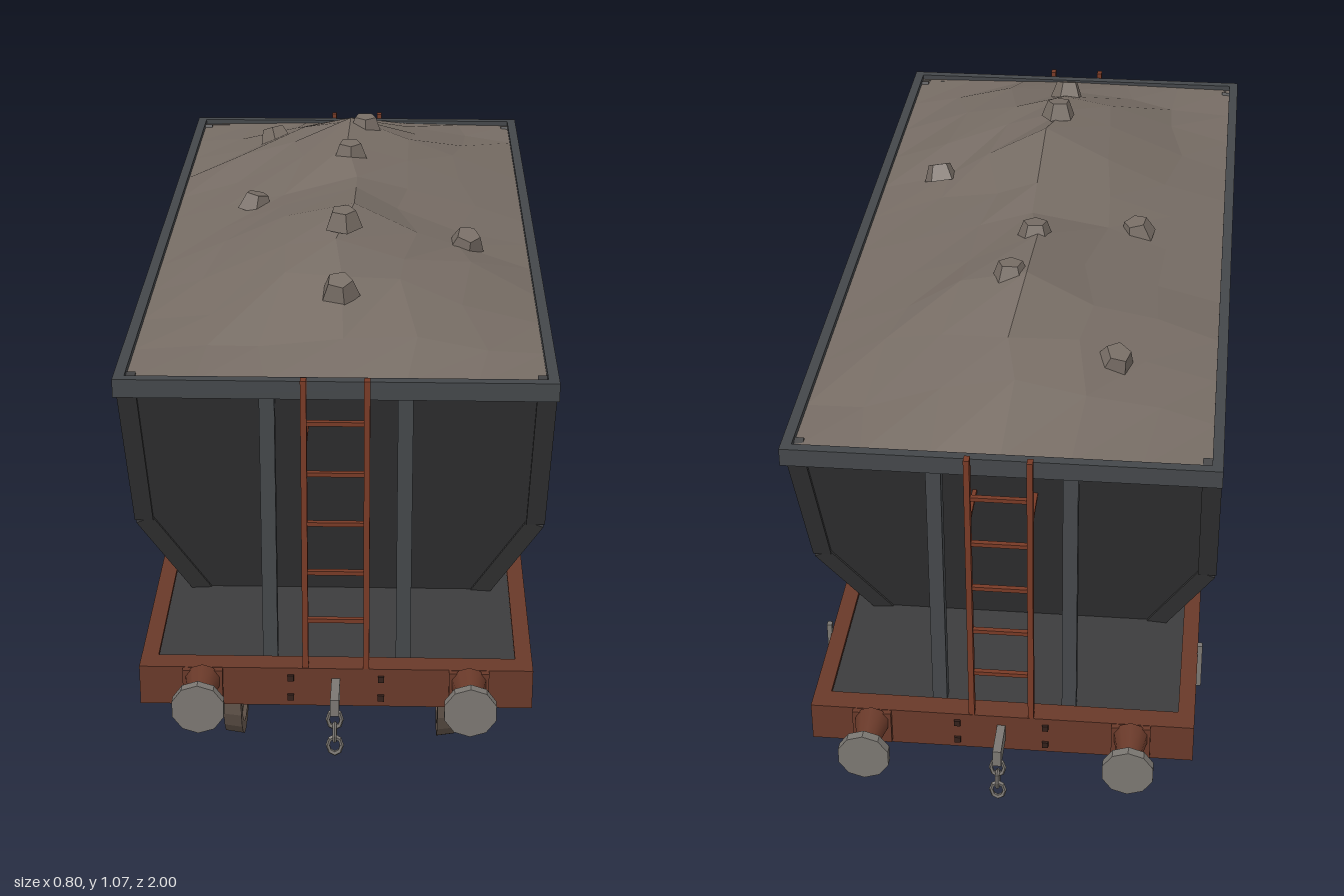
import * as THREE from 'three';

const mat = (name, color, extra = {}) => {
  const m = new THREE.MeshStandardMaterial({ color, ...extra });
  m.name = name;
  return m;
};

export function createModel() {
  const root = new THREE.Group();
  root.name = 'hopperWagon';
  const M = {
    body: mat('hopperGrey', 0x39393a, { flatShading: true, side: THREE.DoubleSide }),
    trim: mat('trimGrey', 0x44474a),
    deck: mat('deckGrey', 0x3c3c3d),
    frame: mat('frameRust', 0x693929),
    ladder: mat('ladderRust', 0x783a26),
    wheel: mat('wheelBrown', 0x65574d, { flatShading: true }),
    steel: mat('steelGrey', 0x7b7772, { flatShading: true }),
    panel: mat('panelGrey', 0xa0a0a0),
    load: mat('loadStone', 0x776d65, { flatShading: true }),
    bolt: mat('boltDark', 0x33201a),
  };
  const V = (x, y, z) => new THREE.Vector3(x, y, z);
  const add = (name, geo, m, x = 0, y = 0, z = 0) => {
    const o = new THREE.Mesh(geo, m);
    o.name = name;
    o.position.set(x, y, z);
    root.add(o);
    return o;
  };
  const box = (name, m, w, h, d, x, y, z) => add(name, new THREE.BoxGeometry(w, h, d), m, x, y, z);
  // straight bar of w by d section between two points
  const bar = (name, m, a, b, w, d = w) => {
    const dir = b.clone().sub(a);
    const o = add(name, new THREE.BoxGeometry(w, dir.length(), d), m);
    o.position.copy(a).add(b).multiplyScalar(0.5);
    o.quaternion.setFromUnitVectors(V(0, 1, 0), dir.normalize());
    return o;
  };
  const rod = (name, m, r0, r1, len, n, x, y, z, axis) => {
    const g = new THREE.CylinderGeometry(r1, r0, len, n);
    if (axis === 'x') g.rotateZ(-Math.PI / 2);
    if (axis === 'z') g.rotateX(Math.PI / 2);
    return add(name, g, m, x, y, z);
  };
  const SIDES = [-1, 1];

  // hopper shell from three rectangular rings: [y, half width, half length]
  const rings = [[0.32, 0.287, 0.54], [0.53, 0.388, 0.647], [0.9, 0.388, 0.835]];
  const pos = [], idx = [];
  for (const [y, w, l] of rings) pos.push(w, y, l, w, y, -l, -w, y, -l, -w, y, l);
  for (let r = 0; r < 2; r++) for (let k = 0; k < 4; k++) {
    const a = r * 4 + k, b = r * 4 + (k + 1) % 4;
    idx.push(a, b, b + 4, a, b + 4, a + 4);
  }
  const shell = new THREE.BufferGeometry();
  shell.setAttribute('position', new THREE.Float32BufferAttribute(pos, 3));
  shell.setIndex(idx);
  shell.computeVertexNormals();
  add('hopperShell', shell, M.body);

  // rim, ribs and posts
  for (const s of SIDES) {
    box('rimSide', M.trim, 0.02, 0.035, 1.73, s * 0.39, 0.893, 0);
    box('rimEnd', M.trim, 0.8, 0.035, 0.02, 0, 0.893, s * 0.855);
    for (const t of SIDES) {
      bar('sideRib', M.trim, V(s * 0.389, 0.525, t * 0.29), V(s * 0.389, 0.885, t * 0.29), 0.022, 0.026);
      bar('sideRib', M.trim, V(s * 0.289, 0.325, t * 0.29), V(s * 0.389, 0.53, t * 0.29), 0.022, 0.026);
      for (let r = 0; r < 2; r++) {
        const [y0, w0, l0] = rings[r], [y1, w1, l1] = rings[r + 1];
        bar('cornerRib', M.body, V(s * (w0 - 0.007), y0, t * (l0 - 0.008)),
          V(s * (w1 - 0.007), y1, t * (l1 - 0.008)), 0.036, 0.026);
      }
      box('endPost', M.trim, 0.028, 0.56, 0.026, s * 0.126, 0.6, t * 0.818);
    }
    // side panel in its border
    box('panelBorder', M.trim, 0.012, 0.205, 0.445, s * 0.392, 0.717, 0);
    box('sidePanel', M.panel, 0.008, 0.16, 0.41, s * 0.397, 0.712, 0);
    // rust patches
    const patch = new THREE.CylinderGeometry(0.018, 0.018, 0.006, 7);
    patch.rotateZ(Math.PI / 2);
    patch.scale(1, 2.6, 1);
    add('rustPatch', patch, M.frame, s * 0.39, 0.823, 0.395);
  }
  rod('smallRustPatch', M.frame, 0.013, 0.013, 0.006, 6, 0.39, 0.578, -0.4, 'x');

  // load heap with two crests
  const crest = [[-0.85, 0.005], [-0.7, 0.055], [-0.5, 0.115], [-0.35, 0.145], [-0.08, 0.105],
    [0.1, 0.12], [0.3, 0.155], [0.5, 0.12], [0.7, 0.055], [0.85, 0.005]];
  const ridge = z => {
    let i = 0;
    while (i < crest.length - 2 && z > crest[i + 1][0]) i++;
    return THREE.MathUtils.mapLinear(z, crest[i][0], crest[i + 1][0], crest[i][1], crest[i + 1][1]);
  };
  const heap = (x, z) => 0.899 + ridge(z) * (1 - Math.abs(x) / 0.382);
  let seed = 7;
  const rnd = () => (seed = (seed * 16807) % 2147483647) / 2147483647 - 0.5;
  const load = new THREE.PlaneGeometry(0.764, 1.694, 6, 11);
  load.rotateX(-Math.PI / 2);
  const lp = load.attributes.position;
  for (let i = 0; i < lp.count; i++) {
    let x = lp.getX(i), z = lp.getZ(i);
    const inner = Math.abs(x) < 0.38 && Math.abs(z) < 0.84;
    if (inner) { x += rnd() * 0.05; z += rnd() * 0.07; }
    lp.setXYZ(i, x, heap(x, z) + (inner ? rnd() * 0.022 : 0), z);
  }
  load.computeVertexNormals();
  add('loadHeap', load, M.load);
  [[-0.19, -0.56], [0.03, -0.38], [0, -0.19], [-0.2, -0.03], [0.25, 0.21], [0, 0.36], [0, 0.6]]
    .forEach(([x, z], i) => {
      const o = add('lump', new THREE.CylinderGeometry(0.025, 0.039, 0.036, 5), M.load, x, heap(x, z) + 0.006, z);
      o.rotation.set(z > 0.5 ? 0.35 : z < -0.5 ? -0.3 : 0.1, i * 1.3, -x * 1.4);
    });

  // deck, floor doors and underframe
  box('deck', M.deck, 0.69, 0.015, 1.71, 0, 0.315, 0);
  for (const s of SIDES) {
    box('floorDoor', M.trim, 0.4, 0.01, 0.2, 0, 0.304, s * 0.14);
    box('crossBeam', M.frame, 0.68, 0.04, 0.035, 0, 0.29, s * 0.72);
    box('solebarWeb', M.frame, 0.016, 0.06, 1.74, s * 0.35, 0.305, 0);
    for (const y of [0.331, 0.279]) box('solebarFlange', M.frame, 0.032, 0.008, 1.74, s * 0.354, y, 0);
    for (let k = -6; k <= 6; k++) if (k) rod('solebarBolt', M.bolt, 0.008, 0.008, 0.008, 6, s * 0.36, 0.305, k * 0.129, 'x');
    box('headstock', M.frame, 0.74, 0.08, 0.045, 0, 0.296, s * 0.865);
    for (const x of [-0.085, 0.085]) for (const y of [0.316, 0.275])
      box('headstockBolt', M.bolt, 0.012, 0.012, 0.008, x, y, s * 0.889);

    // buffers
    for (const x of [-0.25, 0.25]) {
      box('bufferBase', M.frame, 0.075, 0.07, 0.012, x, 0.3, s * 0.893);
      const taper = s > 0 ? [0.034, 0.022] : [0.022, 0.034];
      rod('bufferSleeve', M.frame, taper[0], taper[1], 0.06, 10, x, 0.312, s * 0.925, 'z');
      rod('bufferRod', M.steel, 0.014, 0.014, 0.05, 8, x, 0.312, s * 0.965, 'z');
      rod('bufferHead', M.steel, 0.05, 0.05, 0.018, 10, x, 0.312, s * 0.991, 'z');
    }

    // coupling hook and chain
    box('couplingHook', M.steel, 0.016, 0.035, 0.08, 0, 0.297, s * 0.925);
    for (let k = 0; k < 3; k++) {
      const link = add('chainLink', new THREE.TorusGeometry(0.013, 0.004, 5, 8), M.steel, 0, 0.268 - k * 0.028, s * 0.955);
      link.scale.y = 1.4;
      link.rotation.y = k % 2 ? Math.PI / 2 : 0;
    }

    // end ladder
    for (const x of [-0.057, 0.057]) {
      box('ladderRail', M.ladder, 0.011, 0.6, 0.018, x, 0.62, s * 0.878);
      box('ladderBracket', M.ladder, 0.008, 0.008, 0.1, x, 0.78, s * 0.825);
    }
    for (let k = 0; k < 5; k++) box('ladderRung', M.ladder, 0.114, 0.008, 0.01, 0, 0.435 + k * 0.1, s * 0.878);
  }

  // wheelsets, axle boxes, guards and springs
  const tyre = [[0, -0.008], [0.03, -0.018], [0.05, -0.01], [0.11, -0.01], [0.115, -0.018],
    [0.136, -0.018], [0.141, 0.018], [0.115, 0.018], [0.11, 0.01], [0.05, 0.01], [0.03, 0.018], [0, 0.018]]
    .map(p => new THREE.Vector2(...p));
  for (const z of [-0.545, 0.545]) {
    rod('axle', M.wheel, 0.02, 0.02, 0.56, 10, 0, 0.143, z, 'x');
    for (const s of SIDES) {
      const w = add('wheel', new THREE.LatheGeometry(tyre, 22), M.wheel, s * 0.215, 0.142, z);
      w.rotation.z = s * Math.PI / 2;
      box('axleBox', M.frame, 0.075, 0.075, 0.085, s * 0.307, 0.148, z);
      box('axleBoxCover', M.frame, 0.01, 0.045, 0.05, s * 0.348, 0.148, z);
      box('springBuckle', M.frame, 0.03, 0.06, 0.03, s * 0.335, 0.21, z);
      for (let k = 0; k < 3; k++)
        box('springLeaf', M.frame, 0.024, 0.009, 0.1 + k * 0.045, s * 0.335, 0.208 + k * 0.011, z);
      box('guardTie', M.frame, 0.01, 0.012, 0.12, s * 0.324, 0.106, z);
      for (const t of SIDES) {
        bar('axleGuardLeg', M.frame, V(s * 0.324, 0.1, z + t * 0.05), V(s * 0.324, 0.28, z + t * 0.055), 0.01, 0.014);
        bar('axleGuardStay', M.frame, V(s * 0.324, 0.125, z + t * 0.05), V(s * 0.324, 0.28, z + t * 0.125), 0.01, 0.014);
        bar('springHanger', M.frame, V(s * 0.335, 0.23, z + t * 0.09), V(s * 0.335, 0.28, z + t * 0.1), 0.018, 0.012);
      }
    }
  }

  // brake gear
  rod('brakeShaft', M.frame, 0.009, 0.009, 0.7, 8, 0, 0.175, 0, 'x');
  for (const s of SIDES) {
    box('brakePullRod', M.frame, 0.01, 0.009, 0.78, s * 0.215, 0.14, 0);
    for (const t of SIDES) {
      box('brakeHanger', M.frame, 0.012, 0.18, 0.01, s * 0.215, 0.215, t * 0.388);
      box('brakeShoe', M.frame, 0.03, 0.06, 0.018, s * 0.215, 0.148, t * 0.392);
      bar('shaftHanger', M.frame, V(s * 0.34, 0.172, 0), V(s * 0.34, 0.28, t * 0.125), 0.012, 0.014);
    }
    bar('brakeArm', M.frame, V(s * 0.358, 0.175, 0), V(s * 0.362, 0.235, -0.65), 0.01, 0.014);
    box('leverGuide', M.frame, 0.01, 0.09, 0.016, s * 0.365, 0.235, -0.655);
    box('brakeLever', M.steel, 0.01, 0.1, 0.012, s * 0.374, 0.305, -0.655);
  }
  return root;
}
